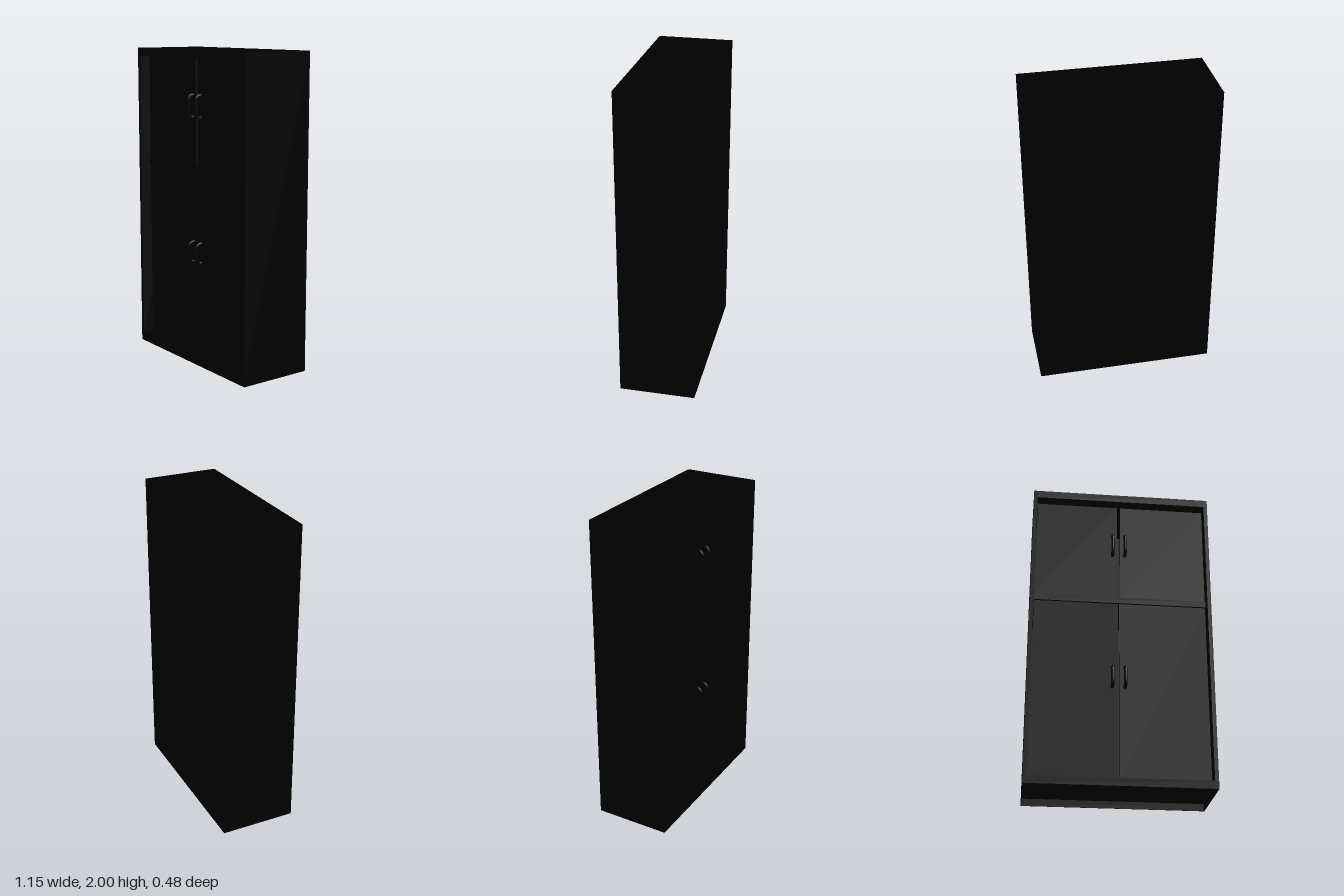
import * as THREE from 'three';

export function createModel() {
  const cabinet = new THREE.Group();
  cabinet.name = 'cabinet';
  const black = new THREE.MeshStandardMaterial({ color: 0x000000 });

  const W = 0.577, D = 0.242, H = 2;   // half width, half depth, height
  const side = 0.024, floorY = 0.05, doorZ = 0.17, mid = -0.01;

  // Box given by its limits on each axis
  function box(name, x0, x1, y0, y1, z0, z1, parent = cabinet) {
    const mesh = new THREE.Mesh(new THREE.BoxGeometry(x1 - x0, y1 - y0, z1 - z0), black);
    mesh.position.set((x0 + x1) / 2, (y0 + y1) / 2, (z0 + z1) / 2);
    mesh.name = name;
    parent.add(mesh);
  }

  // Carcass
  const inner = W - side;
  box('rightSide', -W, -inner, floorY, H, -D, D);
  box('leftSide', inner, W, floorY, H, -D, D);
  box('topPanel', -inner, inner, 1.95, H, -D, D);
  box('backPanel', -inner, inner, floorY, 1.95, -D, -D + 0.015);
  box('bottomPanel', -W, W, floorY - 0.004, floorY, -D, D);
  box('middleShelf', -inner, inner, 1.228, 1.268, -D + 0.015, doorZ + 0.008);

  // Thin skirt, open underneath
  const t = 0.004, skirtTop = floorY - 0.004;
  box('skirtFront', -W, W, 0, skirtTop, D - t, D);
  box('skirtBack', -W, W, 0, skirtTop, -D, -D + t);
  box('skirtRight', -W, -W + t, 0, skirtTop, -D + t, D - t);
  box('skirtLeft', W - t, W, 0, skirtTop, -D + t, D - t);

  // Bent bar handle: two short legs joined by an upright grip
  function handle(x, y0, y1, parent) {
    const reach = 0.035;
    const path = new THREE.CatmullRomCurve3([
      [y0, -0.004], [y0 + 0.004, reach * 0.6], [y0 + 0.02, reach],
      [(y0 + y1) / 2, reach + 0.004],
      [y1 - 0.02, reach], [y1 - 0.004, reach * 0.6], [y1, -0.004],
    ].map(([y, z]) => new THREE.Vector3(x, y, doorZ + z)));
    const mesh = new THREE.Mesh(new THREE.TubeGeometry(path, 32, 0.011, 10), black);
    mesh.name = 'handle';
    parent.add(mesh);
  }

  // Two pairs of recessed doors meeting at a narrow gap
  const pairs = [
    { name: 'upper', y0: 1.272, y1: 1.947, gap: 0.01, h0: 1.58, h1: 1.72 },
    { name: 'lower', y0: 0.053, y1: 1.225, gap: 0.004, h0: 0.65, h1: 0.78 },
  ];
  for (const p of pairs) {
    for (const s of [-1, 1]) {
      const door = new THREE.Group();
      door.name = p.name + (s > 0 ? 'LeftDoor' : 'RightDoor');
      const a = mid + s * p.gap, b = s * (inner - 0.003);
      box('doorPanel', Math.min(a, b), Math.max(a, b), p.y0, p.y1, doorZ - 0.02, doorZ, door);
      handle(mid + s * 0.04, p.h0, p.h1, door);
      cabinet.add(door);
    }
  }
  return cabinet;
}
